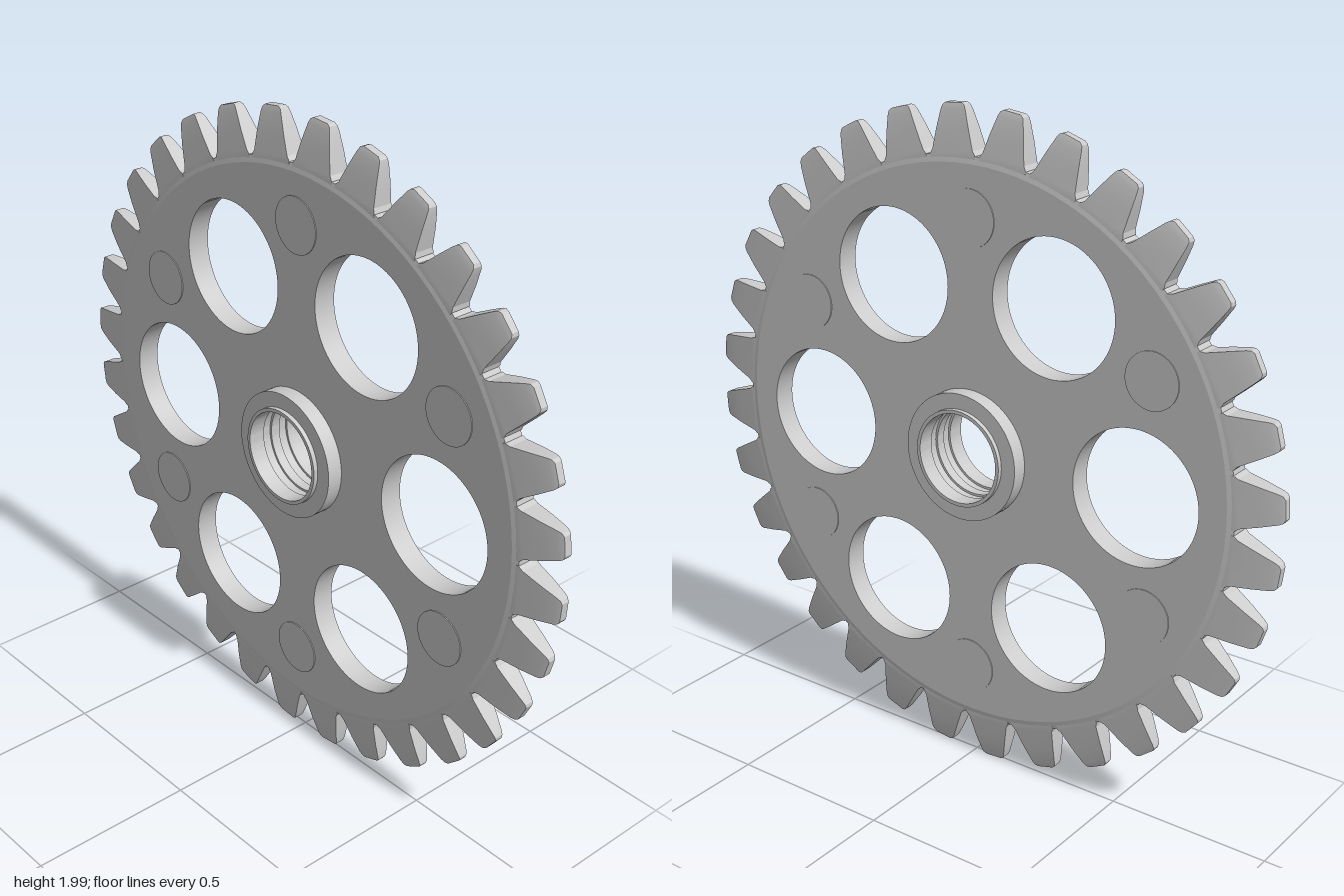
import * as THREE from 'three';
import { toCreasedNormals } from 'three/addons/utils/BufferGeometryUtils.js';

const TEETH = 32;
const HALF = 0.035; // half thickness of the web

const material = new THREE.MeshStandardMaterial({ color: 0xcccccc });

function add(parent, name, geometry) {
  const mesh = new THREE.Mesh(geometry, material);
  mesh.name = name;
  parent.add(mesh);
  return mesh;
}

// Closed [radius, z] profile turned around the z axis
function turned(profile) {
  const points = [...profile, profile[0]].map(([r, z]) => new THREE.Vector2(r, z));
  return toCreasedNormals(new THREE.LatheGeometry(points, 96).rotateX(Math.PI / 2), 0.3);
}

// Tooth lofted outward through rectangular [radius, half width, half thickness] sections
function toothGeometry() {
  const sections = [
    [0.83, 0.078, 0.033], [0.86, 0.077, 0.0325], [0.872, 0.069, 0.031],
    [0.93, 0.055, 0.025], [0.98, 0.042, 0.017], [0.992, 0.037, 0.014], [0.998, 0.028, 0.012],
  ];
  const loops = sections.map(([r, w, t]) => [[-w, r, t], [w, r, t], [w, r, -t], [-w, r, -t]]);
  const positions = [];
  const quad = (a, b, c, d) => positions.push(...a, ...b, ...c, ...a, ...c, ...d);
  for (let i = 0; i < loops.length - 1; i++) {
    for (let k = 0; k < 4; k++) {
      const n = (k + 1) % 4;
      quad(loops[i][k], loops[i][n], loops[i + 1][n], loops[i + 1][k]);
    }
  }
  quad(...loops[loops.length - 1]);
  const geometry = new THREE.BufferGeometry();
  geometry.setAttribute('position', new THREE.Float32BufferAttribute(positions, 3));
  return toCreasedNormals(geometry, 0.35);
}

export function createModel() {
  const model = new THREE.Group();
  model.name = 'gearWheel';
  const wheel = new THREE.Group();
  wheel.name = 'wheel';
  wheel.position.y = 1;
  model.add(wheel);

  // Flat web with six round windows and an opening for the hub
  const disc = new THREE.Shape().absarc(0, 0, 0.84, 0, Math.PI * 2);
  const cut = (x, y, r) => disc.holes.push(new THREE.Path().absarc(x, y, r, 0, Math.PI * 2, true));
  cut(0, 0, 0.17);
  for (let i = 0; i < 6; i++) {
    const a = (i * Math.PI) / 3;
    cut(0.556 * Math.cos(a), 0.556 * Math.sin(a), 0.2);
  }
  const web = new THREE.ExtrudeGeometry(disc, { depth: HALF * 2, bevelEnabled: false, curveSegments: 48 });
  web.translate(0, 0, -HALF);
  add(wheel, 'web', toCreasedNormals(web, 0.5));

  // Rim with sloped shoulders below the teeth
  add(wheel, 'rim', turned([[0.835, -0.034], [0.84, -HALF], [0.862, -0.031], [0.862, 0.031], [0.84, HALF], [0.835, 0.034]]));

  // Teeth
  const teeth = new THREE.Group();
  teeth.name = 'teeth';
  wheel.add(teeth);
  const toothShape = toothGeometry();
  for (let i = 0; i < TEETH; i++) {
    add(teeth, 'tooth', toothShape).rotation.z = -0.072 - (i * Math.PI * 2) / TEETH;
  }

  // Round pads between the windows, standing slightly proud on both faces
  const padShape = new THREE.CylinderGeometry(0.083, 0.083, HALF * 2 + 0.006, 40).rotateX(Math.PI / 2);
  for (let i = 0; i < 6; i++) {
    const a = Math.PI / 6 + (i * Math.PI) / 3;
    add(wheel, 'pad', padShape).position.set(0.69 * Math.cos(a), 0.69 * Math.sin(a), 0);
  }

  // Hub with a thin lip at both ends and a shallow groove in the bore
  add(wheel, 'hub', turned([
    [0.135, -0.097], [0.146, -0.097], [0.146, -0.083], [0.192, -0.083],
    [0.192, 0.083], [0.146, 0.083], [0.146, 0.097], [0.135, 0.097],
    [0.135, 0.045], [0.142, 0.045], [0.142, 0.015], [0.135, 0.015],
    [0.135, -0.015], [0.142, -0.015], [0.142, -0.045], [0.135, -0.045],
  ]));

  return model;
}
